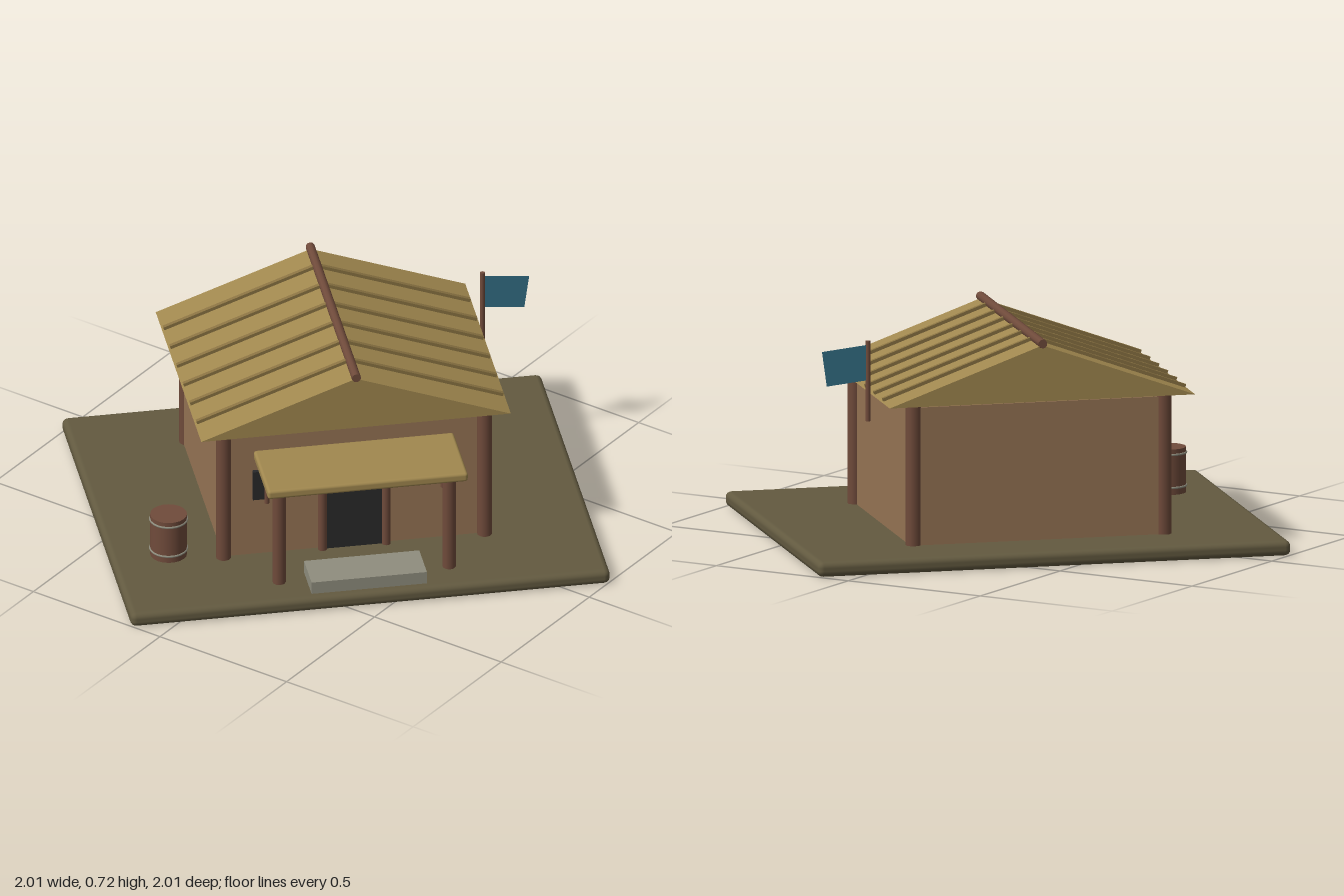
import * as THREE from 'three';
import { RoundedBoxGeometry } from 'three/addons/geometries/RoundedBoxGeometry.js';

const paint = (name, color, side = THREE.FrontSide) => {
  const m = new THREE.MeshStandardMaterial({ color, side });
  m.name = name;
  return m;
};

export function createModel() {
  const earth = paint('earth', 0x635a40);
  const clay = paint('clay wall', 0x967454);
  const thatch = paint('thatch', 0xa1884f);
  const reed = paint('dark reed', 0x8a7342);
  const wood = paint('wood', 0x704b3b);
  const dark = paint('dark opening', 0x29292a);
  const stone = paint('stone', 0x8f8d7e);
  const cloth = paint('blue cloth', 0x336f86, THREE.DoubleSide);

  // The hut is laid out square, then turned 45 degrees on its spot
  const hut = new THREE.Group();
  hut.name = 'hut';
  hut.rotation.y = Math.PI / 4;

  const add = (name, geometry, material, x, y, z, parent = hut) => {
    const mesh = new THREE.Mesh(geometry, material);
    mesh.name = name;
    mesh.position.set(x, y, z);
    parent.add(mesh);
    return mesh;
  };
  const box = (name, mat, w, h, d, x, y, z) => add(name, new THREE.BoxGeometry(w, h, d), mat, x, y, z);
  // Upright round pole from y0 to y1
  const pole = (name, r, x, z, y0, y1) =>
    add(name, new THREE.CylinderGeometry(r, r, y1 - y0, 10), wood, x, (y0 + y1) / 2, z);

  // Ground slab
  add('ground', new RoundedBoxGeometry(1.58, 0.05, 1.28, 2, 0.02), earth, 0, 0.025, 0);

  // Walls and corner posts
  box('walls', clay, 0.86, 0.455, 0.75, 0, 0.2775, -0.05);
  for (const s of [-1, 1]) {
    pole('frontCornerPost', 0.025, s * 0.43, 0.33, 0.045, 0.53);
    pole('backCornerPost', 0.025, s * 0.418, -0.413, 0.045, 0.53);
  }

  // Solid gabled roof
  const eave = 0.51, eaveY = 0.515, apexY = 0.7, roofZ = -0.05, roofLength = 0.836;
  const gable = new THREE.Shape([
    new THREE.Vector2(-eave, eaveY),
    new THREE.Vector2(eave, eaveY),
    new THREE.Vector2(0, apexY),
  ]);
  add('roof', new THREE.ExtrudeGeometry(gable, { depth: roofLength, bevelEnabled: false }),
    thatch, 0, 0, roofZ - roofLength / 2);

  // Battens down both slopes
  const slope = Math.atan2(apexY - eaveY, eave);
  for (const s of [-1, 1]) {
    for (let i = 0; i < 6; i++) {
      const batten = box('roofBatten', reed, 0.53, 0.016, 0.014,
        s * eave / 2, (eaveY + apexY) / 2 + 0.003, roofZ + (i - 2.5) * 0.121);
      batten.rotation.z = -s * slope;
    }
  }

  // Ridge beam
  const ridge = add('ridgeBeam', new THREE.CylinderGeometry(0.015, 0.015, 0.85, 10), wood, 0, 0.706, roofZ);
  ridge.rotation.x = Math.PI / 2;

  // Porch
  add('porchRoof', new RoundedBoxGeometry(0.66, 0.032, 0.27, 2, 0.01), thatch, 0, 0.422, 0.455);
  for (const s of [-1, 1]) pole('porchPost', 0.022, s * 0.28, 0.515, 0.045, 0.41);
  box('step', stone, 0.38, 0.045, 0.14, 0, 0.07, 0.54);

  // Door with its frame
  box('door', dark, 0.2, 0.28, 0.02, 0, 0.188, 0.325);
  for (const s of [-1, 1]) pole('doorPost', 0.015, s * 0.105, 0.335, 0.045, 0.33);
  const lintel = add('doorLintel', new THREE.CylinderGeometry(0.016, 0.016, 0.26, 10), wood, 0, 0.336, 0.337);
  lintel.rotation.z = Math.PI / 2;

  // Windows, each with one upright bar
  for (const s of [-1, 1]) {
    box('window', dark, 0.088, 0.105, 0.024, s * 0.29, 0.312, 0.327);
    pole('windowBar', 0.008, s * 0.29, 0.347, 0.25, 0.382);
  }

  // Flag on a short pole beside the eave
  pole('flagPole', 0.008, 0.524, -0.231, 0.43, 0.695);
  const flag = new THREE.Shape([
    new THREE.Vector2(0, 0.565),
    new THREE.Vector2(0.138, 0.55),
    new THREE.Vector2(0.154, 0.665),
    new THREE.Vector2(0, 0.682),
  ]);
  add('flag', new THREE.ShapeGeometry(flag), cloth, 0.524, 0, -0.231);

  const model = new THREE.Group();
  model.name = 'hutModel';
  model.add(hut);

  // Barrel with two hoops
  const barrel = new THREE.Group();
  barrel.name = 'barrel';
  barrel.position.set(-0.23, 0, 0.62);
  model.add(barrel);
  add('barrelBody', new THREE.CylinderGeometry(0.06, 0.06, 0.155, 20), wood, 0, 0.1225, 0, barrel);
  for (const y of [0.073, 0.182]) {
    const hoop = add('barrelHoop', new THREE.TorusGeometry(0.06, 0.004, 6, 24), stone, 0, y, 0, barrel);
    hoop.rotation.x = Math.PI / 2;
  }

  return model;
}
